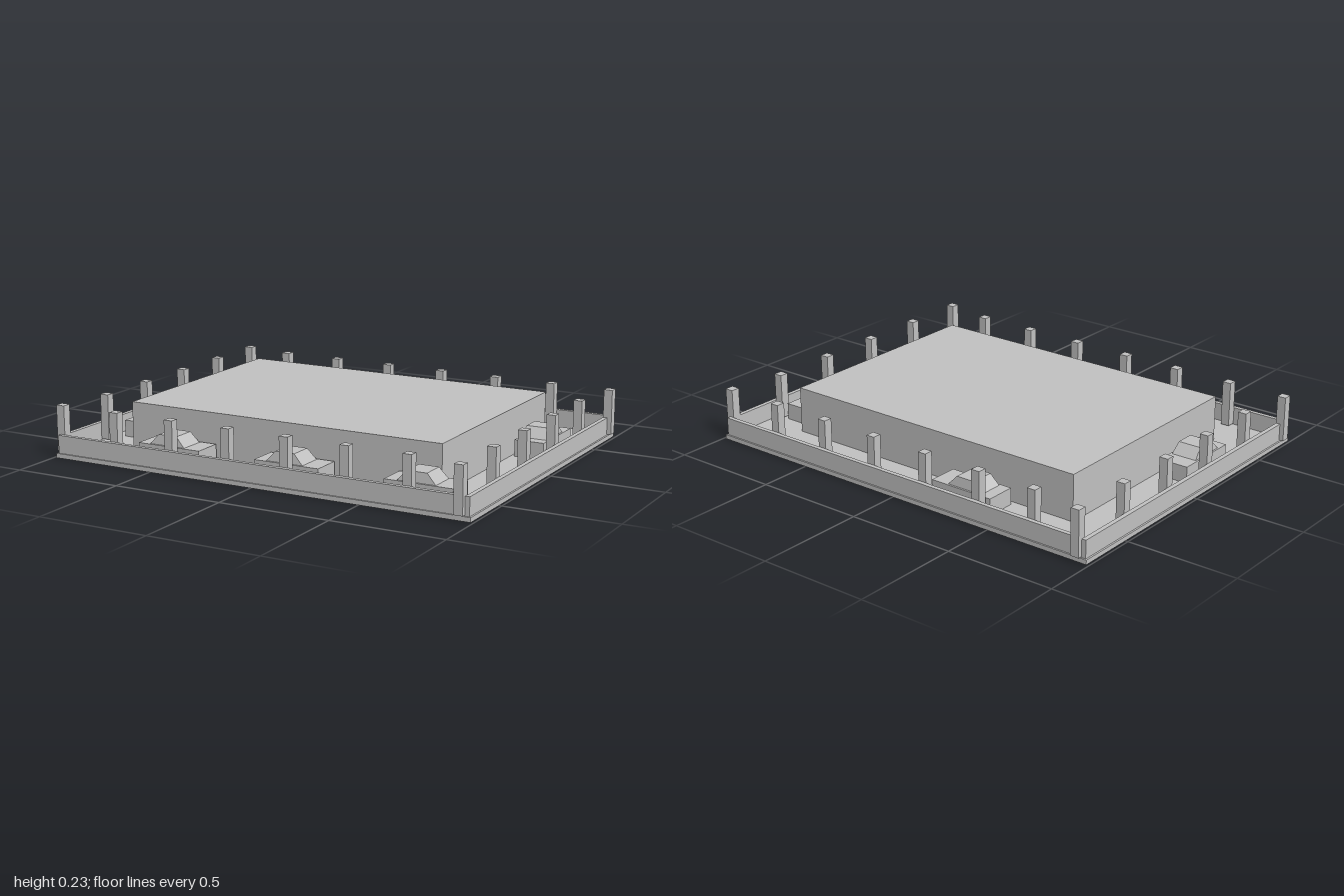
import * as THREE from 'three';

export function createModel() {
  const model = new THREE.Group();
  model.name = 'carParkDeck';
  const grey = new THREE.MeshStandardMaterial({ color: 0xc0c0c0 });
  grey.name = 'grey';

  const FLOOR = 0.02, TOP = 0.228;

  // Box given by its footprint centre, size and vertical range
  function box(parent, name, x, z, w, d, y0, y1) {
    const mesh = new THREE.Mesh(new THREE.BoxGeometry(w, y1 - y0, d), grey);
    mesh.position.set(x, (y0 + y1) / 2, z);
    mesh.name = name;
    parent.add(mesh);
    return mesh;
  }

  // Floor slab and central block
  box(model, 'floorSlab', 0, 0, 1.976, 1.526, 0, FLOOR);
  box(model, 'centralBlock', 0, 0, 1.5, 1.05, FLOOR, TOP);

  // Low perimeter walls
  for (const s of [-1, 1]) {
    box(model, 'longWall', 0, s * 0.746, 1.96, 0.02, FLOOR, 0.1);
    box(model, 'sideWall', s * 0.97, 0, 0.02, 1.472, FLOOR, 0.1);
  }

  // Posts: rows inside each wall, one pinwheeled post at each corner
  const post = (x, z) => box(model, 'post', x, z, 0.04, 0.04, 0.024, TOP);
  for (const s of [-1, 1]) {
    for (let i = 0; i < 6; i++) post(-0.7 + i * 0.28, s * 0.716);
    for (let i = 0; i < 4; i++) post(s * 0.94, -0.453 + i * 0.302);
    post(s * 0.98, -s * 0.716);
    post(s * 0.94, s * 0.756);
  }

  // Parked cars: box body with a tapered cabin
  function car(x, z, turned) {
    const group = new THREE.Group();
    group.name = 'car';
    box(group, 'carBody', 0, 0, 0.305, 0.135, FLOOR, 0.094);
    const cabin = box(group, 'carCabin', -0.013, 0, 0.172, 0.118, 0.094, 0.138);
    const p = cabin.geometry.attributes.position;
    for (let i = 0; i < p.count; i++) {
      if (p.getY(i) > 0) {
        p.setX(i, p.getX(i) * 0.52);
        p.setZ(i, p.getZ(i) * 0.9);
      }
    }
    cabin.geometry = cabin.geometry.toNonIndexed();
    cabin.geometry.computeVertexNormals();
    group.position.set(x, 0, z);
    if (turned) group.rotation.y = Math.PI / 2;
    model.add(group);
  }
  for (const x of [-0.465, 0.112, 0.716]) car(x, 0.602, false);
  car(-0.302, -0.617, false);
  car(0.833, -0.306, true);
  car(-0.837, 0.218, true);

  return model;
}
